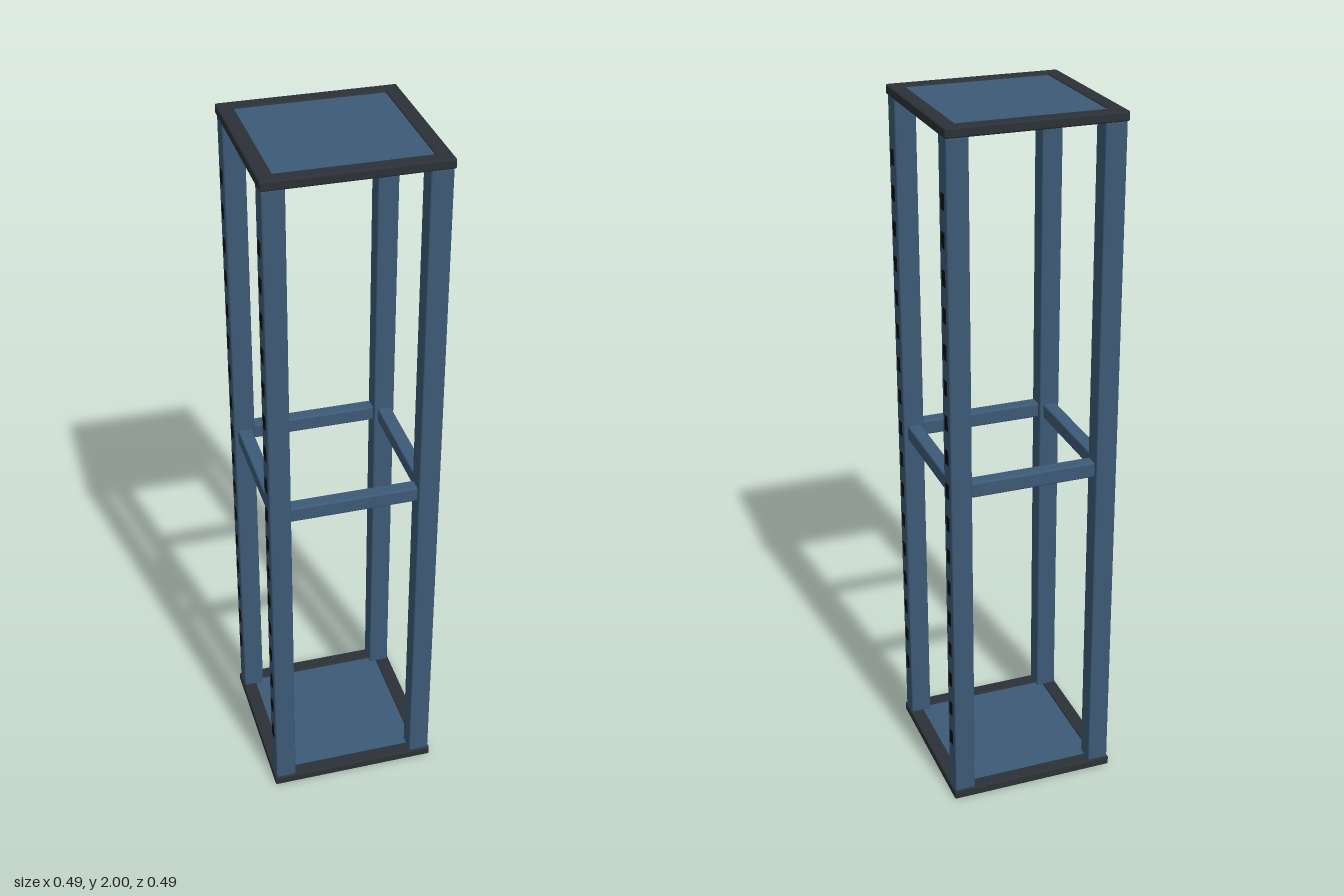
import * as THREE from 'three';
import { RoundedBoxGeometry } from 'three/addons/geometries/RoundedBoxGeometry.js';

const material = (name, color) => {
  const m = new THREE.MeshStandardMaterial({ color });
  m.name = name;
  return m;
};

export function createModel() {
  const blue = material('steel blue', 0x3c5a76);
  const dark = material('charcoal', 0x2b3136);
  const black = material('slot black', 0x090a0b);
  const rack = new THREE.Group();
  rack.name = 'openFrameRack';

  const add = (parent, name, geometry, mat, x, y, z) => {
    const mesh = new THREE.Mesh(geometry, mat);
    mesh.name = name;
    mesh.position.set(x, y, z);
    parent.add(mesh);
  };

  const half = 0.245;   // outer half width
  const bar = 0.042;    // border bar width
  const thick = 0.027;  // border bar height
  const post = 0.211;   // post centre offset

  // Top and bottom plates: blue panel in a dark border
  const alongX = new RoundedBoxGeometry(half * 2, thick, bar, 3, 0.005);
  const alongZ = new RoundedBoxGeometry(bar, thick, (half - bar) * 2 + 0.012, 3, 0.005);
  const panel = new THREE.BoxGeometry(0.412, 0.019, 0.412);
  for (const [name, y] of [['basePlate', thick / 2], ['topPlate', 2 - thick / 2]]) {
    const plate = new THREE.Group();
    plate.name = name;
    plate.position.y = y;
    add(plate, 'panel', panel, blue, 0, 0, 0);
    for (const s of [-1, 1]) {
      add(plate, 'borderBarX', alongX, dark, 0, 0, s * (half - bar / 2));
      add(plate, 'borderBarZ', alongZ, dark, s * (half - bar / 2), 0, 0);
    }
    rack.add(plate);
  }

  // Corner posts with a column of slots on the outer side faces
  const postGeo = new RoundedBoxGeometry(0.06, 1.95, 0.06, 3, 0.005);
  const slotGeo = new THREE.BoxGeometry(0.006, 0.042, 0.021);
  for (const sx of [-1, 1]) {
    for (const sz of [-1, 1]) {
      const corner = new THREE.Group();
      corner.name = 'cornerPost';
      corner.position.set(sx * post, 0, sz * post);
      add(corner, 'post', postGeo, blue, 0, 1, 0);
      for (let i = 0; i < 17; i++) {
        add(corner, 'slot', slotGeo, black, sx * 0.029, 0.2 + i * 0.1006, 0);
      }
      rack.add(corner);
    }
  }

  // Middle rails joining the posts
  const railX = new RoundedBoxGeometry(0.362, 0.044, 0.04, 3, 0.005);
  const railZ = new RoundedBoxGeometry(0.04, 0.044, 0.362, 3, 0.005);
  for (const s of [-1, 1]) {
    add(rack, 'middleRailX', railX, blue, 0, 1.003, s * post);
    add(rack, 'middleRailZ', railZ, blue, s * post, 1.003, 0);
  }

  return rack;
}
